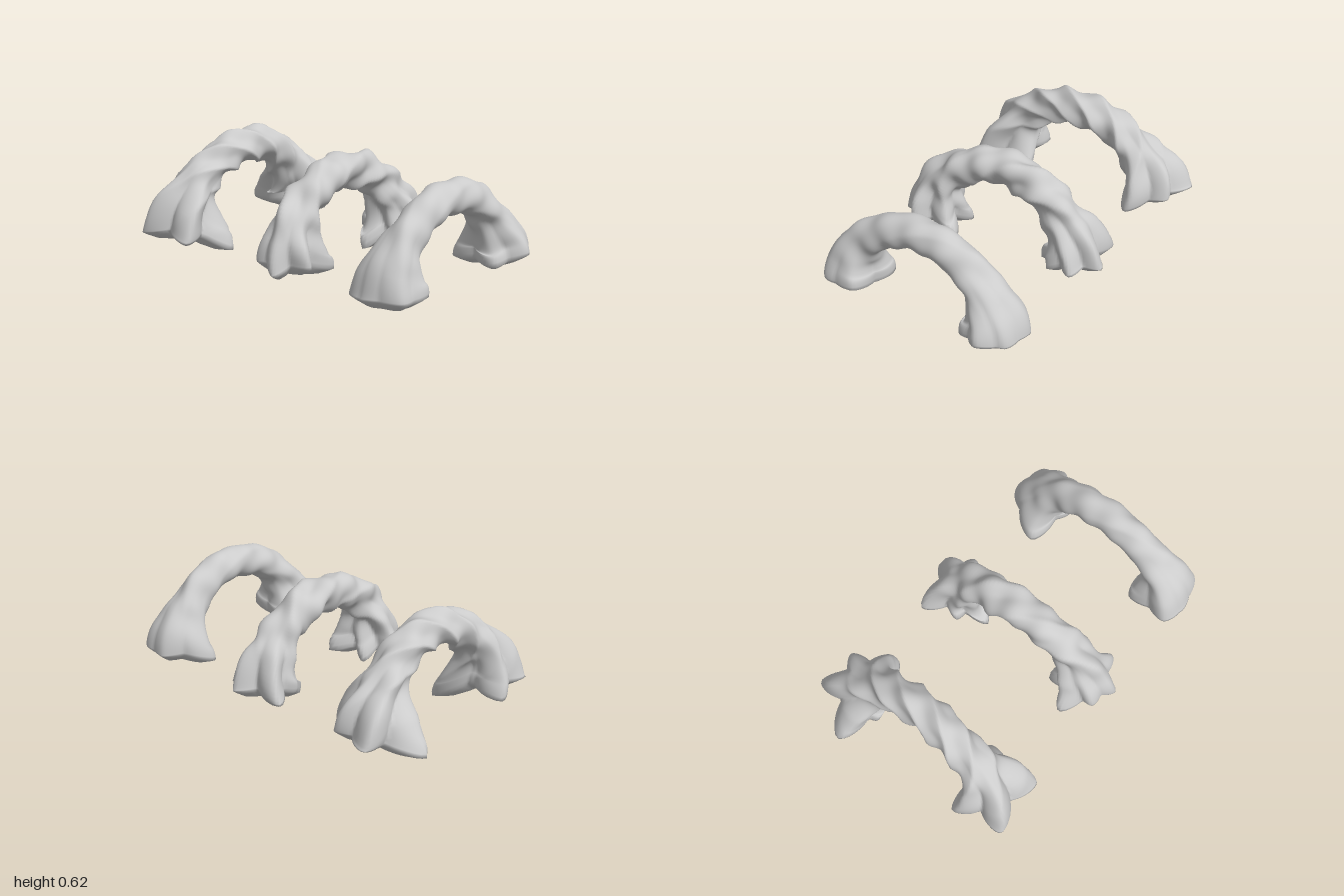
import * as THREE from 'three';

const SIDES = 72, STEPS = 84;
const X_AXIS = new THREE.Vector3(1, 0, 0);

// Centre line of an arch as [z, y], from the front foot over the top to the back foot
const PROFILE = [[0.45, 0.14], [0.44, 0.23], [0.39, 0.34], [0.29, 0.435], [0.15, 0.505], [0, 0.527],
  [-0.15, 0.5], [-0.28, 0.42], [-0.37, 0.31], [-0.42, 0.22], [-0.43, 0.14]];

// front / back: root tips as [x, z, y]; span: half angle of a root; flare: height of the foot
const ARCHES = [
  {
    name: 'twistedRootArch', x: [-0.68, -0.66, -0.69], radius: 0.096, foot: 0.108, span: 0.8, flare: 0.2,
    ridges: 4, twist: -8, ridge: 0.13, lump: 0.07, seed: 1,
    front: [[-0.83, 0.64, 0.1], [-0.49, 0.61, 0.1], [-0.9, 0.35, 0.1], [-0.47, 0.28, 0.03]],
    back: [[-1.0, -0.38, 0.08], [-0.83, -0.65, 0.12], [-0.6, -0.61, 0.14], [-0.45, -0.42, 0.1], [-0.79, -0.27, 0.13]],
  },
  {
    name: 'knottedRootArch', x: [0.12, 0.08, 0.07], radius: 0.098, foot: 0.11, span: 0.6, flare: 0.18,
    ridges: 3, twist: 7, ridge: 0.11, lump: 0.13, seed: 4,
    front: [[-0.11, 0.44, 0.11], [0.18, 0.61, 0.09], [0.31, 0.47, 0.14], [0.25, 0.23, 0.1], [0.02, 0.57, 0.13], [0.02, 0.27, 0.08]],
    back: [[-0.14, -0.53, 0.1], [0.12, -0.62, 0.12], [0.25, -0.5, 0.12], [0.2, -0.32, 0.09], [0.05, -0.2, 0.05], [-0.07, -0.33, 0.12]],
  },
  {
    name: 'smoothRootArch', x: [0.82, 0.8, 0.79], radius: 0.09, foot: 0.135, span: 0.9, flare: 0.19,
    ridges: 3, twist: 4, ridge: 0.05, lump: 0.08, seed: 7,
    front: [[0.66, 0.56, 0.13], [0.77, 0.6, 0.13], [0.97, 0.53, 0.14], [0.98, 0.34, 0.16], [0.66, 0.31, 0.13]],
    back: [[0.73, -0.59, 0.12], [0.91, -0.55, 0.13], [1.0, -0.43, 0.16], [0.9, -0.27, 0.13], [0.58, -0.33, 0.1]],
  },
];

// Turns root tips into an angle around the foot, a reach and a height change
function rootLobes(tips, centre, facing) {
  return tips.map(([x, z, y]) => ({
    angle: Math.atan2((z - centre.z) * facing, x - centre.x),
    reach: Math.hypot(x - centre.x, z - centre.z),
    drop: y - centre.y,
  }));
}

// Pointed bump: 1 at angle 0, falling to 0 at the span
function rootShape(angle, span) {
  const delta = Math.acos(Math.cos(angle));
  const soft = Math.sqrt(delta * delta + 0.006) - 0.077;
  return Math.pow(Math.max(0, 1 - soft / span), 1.3);
}

function archGeometry(a) {
  const [xf, xm, xb] = a.x;
  const path = new THREE.CatmullRomCurve3(PROFILE.map(([z, y]) => {
    const end = z > 0 ? xf : xb;
    return new THREE.Vector3(xm + (end - xm) * Math.min(1, Math.abs(z) / 0.42), y, z);
  }));
  const length = path.getLength();
  const lobes = [rootLobes(a.front, path.getPointAt(0), 1), rootLobes(a.back, path.getPointAt(1), -1)];

  // Surface point at path position t and angle th
  function surface(t, th) {
    const c = path.getPointAt(t), T = path.getTangentAt(t);
    const N = new THREE.Vector3().crossVectors(X_AXIS, T).normalize();
    const back = t > 0.5;
    const s = (back ? 1 - t : t) * length;
    const g = Math.exp(-((s / a.flare) ** 2));
    const d = t * length;
    // Trunk with twisted ridges and lumps
    const wave = 1 - 2 * Math.abs(Math.sin((a.ridges / 2) * (th - a.twist * d)));
    const lump = Math.sin(2 * th + 17 * d + a.seed) * Math.sin(23 * d - th + 2 * a.seed)
      + 0.5 * Math.sin(3 * th - 31 * d + a.seed);
    const base = a.radius + (a.foot - a.radius) * g;
    let r = base * (1 + (1 - 0.7 * g) * (a.ridge * wave + a.lump * lump));
    // Roots spreading from the foot
    let spread = 0, drop = 0;
    for (const lobe of lobes[back ? 1 : 0]) {
      const angle = lobe.angle + a.twist * 0.2 * s * (back ? -1 : 1);
      const w = rootShape(th - angle, a.span);
      spread = Math.max(spread, (lobe.reach - a.foot) * w);
      drop += lobe.drop * w;
    }
    r += spread * g;
    c.addScaledVector(X_AXIS, r * Math.cos(th)).addScaledVector(N, r * Math.sin(th));
    c.y += drop * g * g;
    return c;
  }

  // Rows along the arch, with rounded undersides closing both feet
  const under = [0.01, 0.35, 0.65, 0.88];
  const rows = under.map(f => [0, f]);
  for (let i = 0; i <= STEPS; i++) rows.push([i / STEPS, 1]);
  rows.push(...under.slice().reverse().map(f => [1, f]));

  const pos = [], index = [];
  rows.forEach(([t, f], i) => {
    const low = path.getPointAt(t);
    low.y -= 0.045;
    for (let j = 0; j < SIDES; j++) {
      const p = surface(t, (j / SIDES) * Math.PI * 2);
      if (f < 1) {
        p.lerpVectors(low, p, f);
        p.y -= 0.03 * Math.sin(Math.PI * f);
      }
      pos.push(p.x, p.y, p.z);
      if (i === rows.length - 1) continue;
      const k = (j + 1) % SIDES, m = i * SIDES, n = m + SIDES;
      index.push(m + j, n + j, m + k, m + k, n + j, n + k);
    }
  });
  const geo = new THREE.BufferGeometry();
  geo.setAttribute('position', new THREE.Float32BufferAttribute(pos, 3));
  geo.setIndex(index);
  geo.computeVertexNormals();
  return geo;
}

export function createModel() {
  const group = new THREE.Group();
  group.name = 'rootArches';
  const material = new THREE.MeshStandardMaterial({ color: 0xcccccc });
  for (const arch of ARCHES) {
    const mesh = new THREE.Mesh(archGeometry(arch), material);
    mesh.name = arch.name;
    group.add(mesh);
  }
  return group;
}
